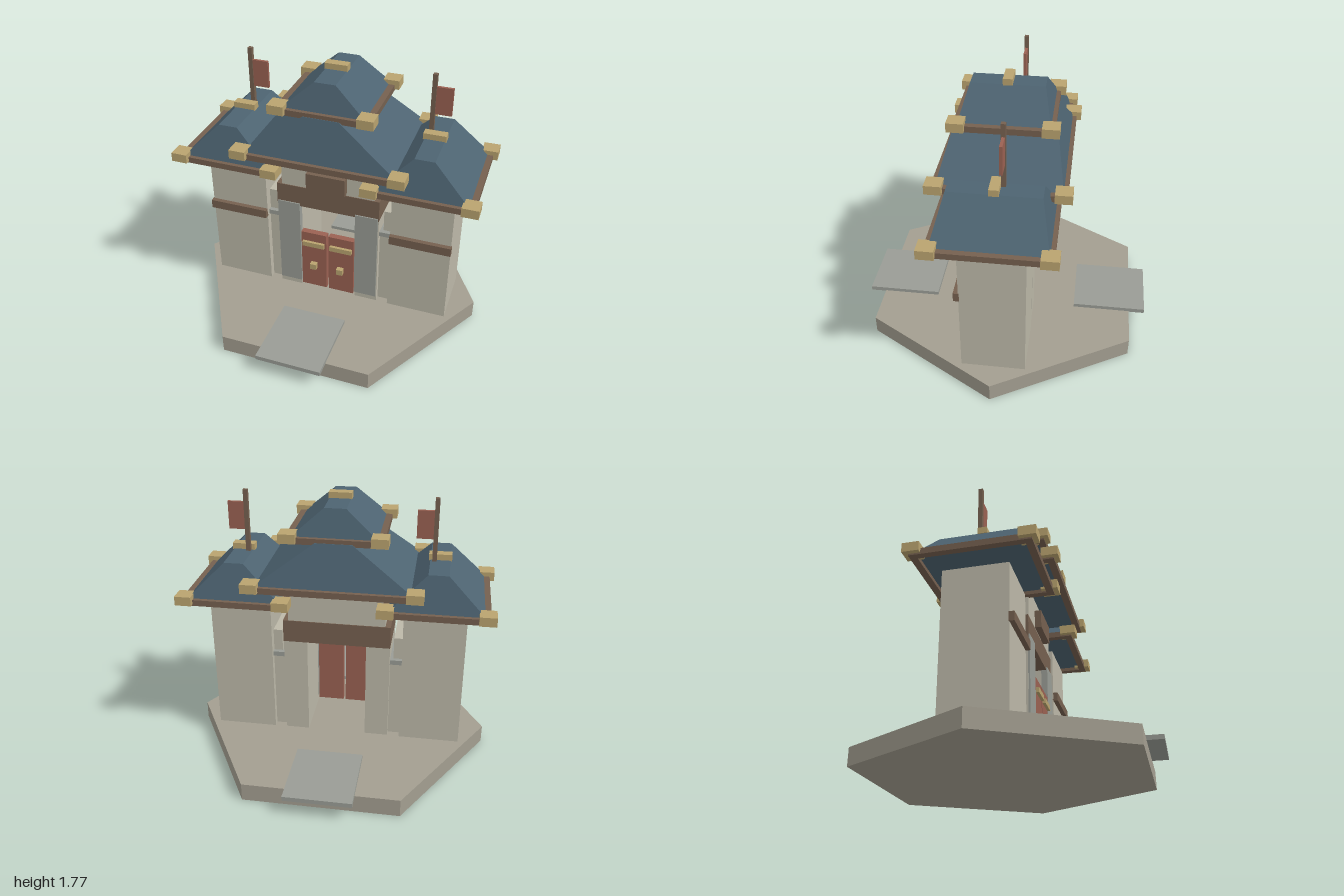
import * as THREE from 'three';

const mat = (color) => new THREE.MeshStandardMaterial({ color, flatShading: true });

export function createModel() {
  const model = new THREE.Group();
  model.name = 'gatehouse';
  const stone = mat(0xbcb8a8), ground = mat(0xa39e90), slate = mat(0x999c95);
  const tile = mat(0x4d6371), wood = mat(0x75604f), brass = mat(0xb9a36f), red = mat(0x9a6152);

  const add = (parent, name, geometry, material) => {
    const mesh = new THREE.Mesh(geometry, material);
    mesh.name = name;
    parent.add(mesh);
    return mesh;
  };

  // Box given by its extents along each axis
  const box = (parent, name, material, [x0, x1], [y0, y1], [z0, z1]) => {
    const mesh = add(parent, name, new THREE.BoxGeometry(x1 - x0, y1 - y0, z1 - z0), material);
    mesh.position.set((x0 + x1) / 2, (y0 + y1) / 2, (z0 + z1) / 2);
    return mesh;
  };

  // The same box on both sides of the gate
  const pair = (name, material, [x0, x1], y, z) => {
    box(model, name + 'Left', material, [x0, x1], y, z);
    box(model, name + 'Right', material, [-x1, -x0], y, z);
  };

  // Box whose upper corners are drawn in to a short, deep ridge
  const hip = (bx, bz, tx, tz, h) => {
    const g = new THREE.BoxGeometry(bx * 2, h, bz * 2);
    const p = g.attributes.position;
    for (let i = 0; i < p.count; i++) {
      if (p.getY(i) > 0) p.setXYZ(i, Math.sign(p.getX(i)) * tx, h / 2, Math.sign(p.getZ(i)) * tz);
    }
    g.computeVertexNormals();
    return g;
  };

  // Roof with perimeter eave beams, corner blocks and optional ridge cap;
  // cx, cz are the corner block centres, y0 the underside of the eaves
  const roof = (name, x, y0, [cx, cz], [tx, tz], top, cap) => {
    const g = new THREE.Group();
    g.name = name;
    g.position.x = x;
    model.add(g);
    const base = y0 + 0.025;
    add(g, 'tiledRoof', hip(cx, cz, tx, tz, top - base), tile).position.y = (base + top) / 2;
    const w = 0.0225, y = [y0, y0 + 0.04];
    for (const s of [-1, 1]) {
      box(g, 'eaveBeam', wood, [-cx - w, cx + w], y, [s * cz - w, s * cz + w]);
      box(g, 'eaveSideBeam', wood, [s * cx - w, s * cx + w], y, [-cz + w, cz - w]);
      for (const t of [-1, 1]) {
        box(g, 'cornerBlock', brass, [s * cx - 0.053, s * cx + 0.053], [y0 + 0.01, y0 + 0.07],
          [t * cz - 0.053, t * cz + 0.053]);
      }
    }
    if (cap) box(g, 'ridgeCap', brass, [-0.073, 0.073], [top - 0.005, top + 0.038], [-0.03, 0.03]);
  };

  // Hexagonal plinth with a step slab front and back
  const plinth = add(model, 'plinth', new THREE.CylinderGeometry(1, 1, 0.12, 6), ground);
  plinth.position.y = 0.06;
  plinth.rotation.y = Math.PI / 6;
  box(model, 'frontStep', slate, [-0.217, 0.217], [0.115, 0.145], [0.483, 0.97]);
  box(model, 'backStep', slate, [-0.217, 0.217], [0.115, 0.145], [-0.97, -0.483]);

  // Towers and the low links that join them to the gate
  pair('tower', stone, [0.432, 0.833], [0.12, 1.048], [-0.205, 0.205]);
  pair('towerBand', wood, [0.432, 0.838], [0.663, 0.723], [0.2, 0.236]);
  pair('linkWall', stone, [0.35, 0.435], [0.12, 0.668], [-0.16, 0.16]);
  pair('linkCoping', slate, [0.35, 0.435], [0.668, 0.7], [-0.18, 0.18]);
  pair('linkButtress', stone, [0.373, 0.435], [0.12, 0.85], [-0.15, 0.15]);

  // Gate piers, lintel and the wall above
  pair('pier', stone, [0.195, 0.352], [0.12, 0.8], [-0.2, 0.2]);
  pair('jambSlab', slate, [0.193, 0.347], [0.162, 0.82], [0.17, 0.212]);
  box(model, 'lintel', wood, [-0.353, 0.353], [0.8, 0.952], [-0.205, 0.205]);
  box(model, 'upperWall', stone, [-0.318, 0.318], [0.952, 1.17], [-0.2, 0.2]);
  box(model, 'plaque', wood, [-0.132, 0.132], [0.967, 1.09], [0.2, 0.243]);

  // Half-height double doors
  pair('door', red, [0.008, 0.187], [0.142, 0.595], [0.168, 0.21]);
  pair('doorBar', brass, [0.02, 0.175], [0.492, 0.527], [0.205, 0.23]);
  pair('doorKnob', brass, [0.073, 0.118], [0.31, 0.353], [0.205, 0.245]);

  // Stacked gate roofs and the two tower roofs
  roof('mainRoof', 0, 1.225, [0.508, 0.388], [0.115, 0.31], 1.54, false);
  roof('topRoof', 0, 1.525, [0.282, 0.285], [0.068, 0.23], 1.737, true);
  for (const s of [-1, 1]) {
    roof(s > 0 ? 'leftTowerRoof' : 'rightTowerRoof', s * 0.637, 1.095, [0.31, 0.347], [0.063, 0.28], 1.365, true);
    // Flag flying toward +x on both poles
    const x = s * 0.6;
    box(model, 'flagPole', wood, [x - 0.014, x + 0.014], [1.3, 1.773], [-0.058, -0.03]);
    box(model, 'flag', red, [x + 0.01, x + 0.118], [1.51, 1.692], [-0.053, -0.035]);
  }
  return model;
}
